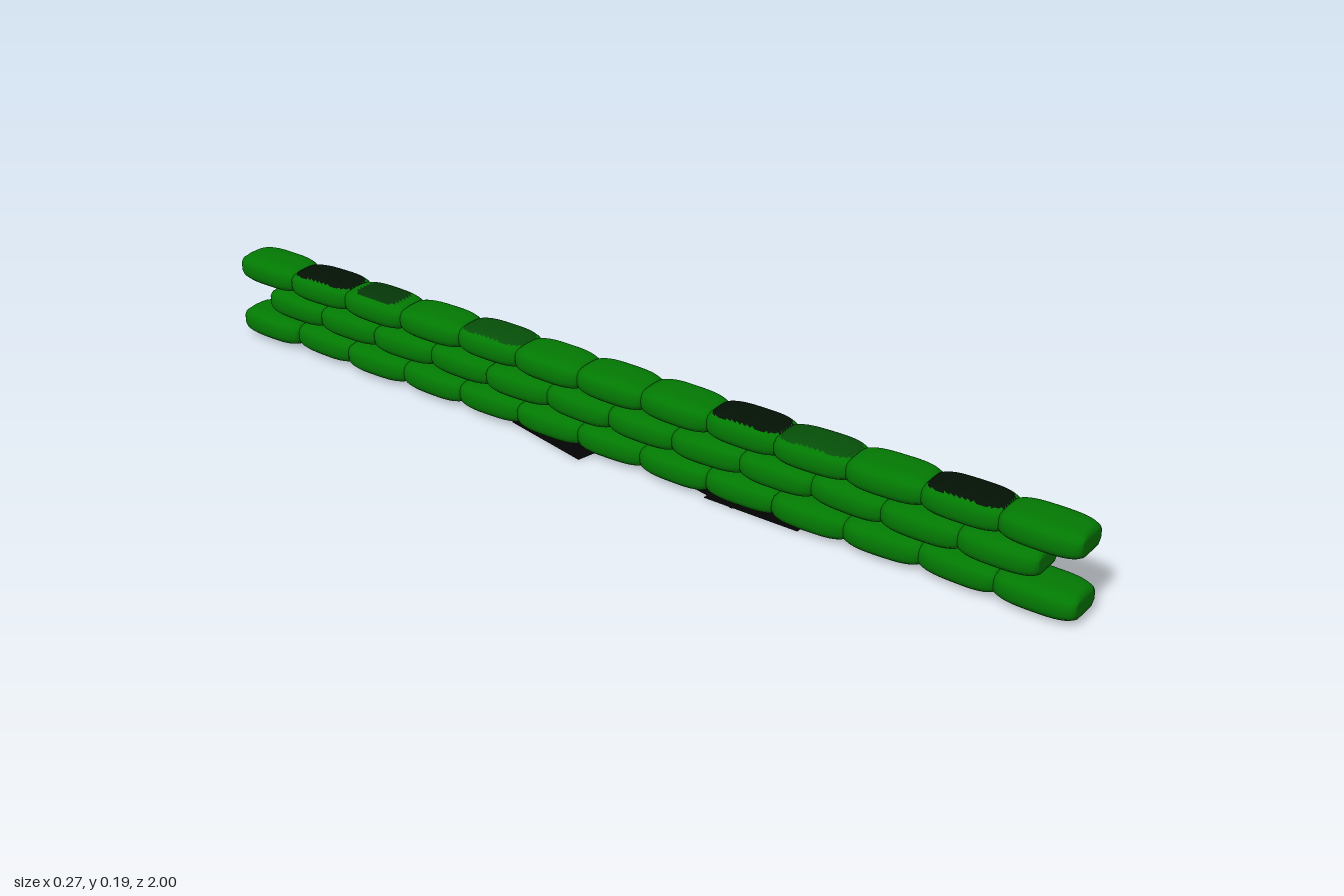
import * as THREE from 'three';
import { mergeVertices } from 'three/addons/utils/BufferGeometryUtils.js';

function paint(name, color, side = THREE.FrontSide) {
  const material = new THREE.MeshStandardMaterial({ color, side });
  material.name = name;
  return material;
}
const green = paint('bag green', 0x037a03);
const shadeGreen = paint('faded green', 0x065009);
const darkGreen = paint('damp green', 0x053808);
const deepGreen = paint('stained green', 0x031205);
const black = paint('ground black', 0x030303, THREE.DoubleSide);

// Small seeded generator, -1 to 1
let seed = 7;
function wobble() {
  seed = (seed * 16807) % 2147483647;
  return (seed / 2147483647) * 2 - 1;
}

// Stuffed bag: a cube pushed out to a rounded block, with blunt ends
function bagGeometry() {
  const geo = new THREE.BoxGeometry(2, 2, 2, 10, 6, 14);
  const pos = geo.attributes.position;
  const power = 3.2;
  for (let i = 0; i < pos.count; i++) {
    const p = [pos.getX(i), pos.getY(i), pos.getZ(i)];
    const norm = Math.pow(p.reduce((s, c) => s + Math.pow(Math.abs(c), power), 0), 1 / power);
    const [x, y, z] = p.map((c) => c / norm);
    pos.setXYZ(i, x * 0.052, y * 0.03, THREE.MathUtils.clamp(z * 0.092, -0.08, 0.08));
  }
  geo.deleteAttribute('uv');
  geo.deleteAttribute('normal');
  geo.clearGroups();
  const smooth = mergeVertices(geo, 1e-5);
  smooth.computeVertexNormals();
  return smooth;
}

// Sort the faces into clean ones (group 0) and an oval stain (group 1)
// on the top (side 1) or the underside (side -1)
function stainedGeometry(base, side, halfWidth, halfLength) {
  const geo = base.clone();
  const pos = geo.attributes.position;
  const index = geo.index.array;
  const clean = [];
  const stain = [];
  for (let i = 0; i < index.length; i += 3) {
    const face = [index[i], index[i + 1], index[i + 2]];
    const mean = (get) => face.reduce((s, v) => s + get(v), 0) / 3;
    const x = mean((v) => pos.getX(v)) / halfWidth;
    const y = mean((v) => pos.getY(v)) * side;
    const z = mean((v) => pos.getZ(v)) / halfLength;
    const inside = y > 0.017 && x ** 4 + z ** 4 < 1;
    (inside ? stain : clean).push(...face);
  }
  geo.setIndex([...clean, ...stain]);
  geo.addGroup(0, clean.length, 0);
  geo.addGroup(clean.length, stain.length, 1);
  return geo;
}

export function createModel() {
  const model = new THREE.Group();
  model.name = 'sandbagWall';

  const plain = bagGeometry();
  const wide = stainedGeometry(plain, 1, 0.04, 0.078);
  const small = stainedGeometry(plain, 1, 0.038, 0.055);
  const under = stainedGeometry(plain, -1, 0.04, 0.07);

  // Three courses; the middle one is offset by half a bag
  const pitch = 1.84 / 12;
  const courses = [
    {
      name: 'bottomCourse', y: 0.0335, count: 13,
      stains: { 0: [under, darkGreen], 3: [under, shadeGreen], 10: [under, darkGreen] },
    },
    { name: 'middleCourse', y: 0.0955, count: 12, stains: {} },
    {
      name: 'topCourse', y: 0.157, count: 13,
      stains: {
        1: [wide, deepGreen], 2: [small, darkGreen], 4: [wide, shadeGreen],
        8: [wide, deepGreen], 9: [wide, shadeGreen], 11: [wide, deepGreen],
      },
    },
  ];
  for (const { name, y, count, stains } of courses) {
    const course = new THREE.Group();
    course.name = name;
    for (let i = 0; i < count; i++) {
      const [geo, stain] = stains[i] ?? [plain];
      const bag = new THREE.Mesh(geo, stain ? [green, stain] : green);
      bag.name = 'sandbag';
      bag.position.set(-0.067 + wobble() * 0.004, y, (i - (count - 1) / 2) * pitch);
      // End bags stay square so the wall keeps its length
      bag.rotation.y = i === 0 || i === count - 1 ? 0 : wobble() * 0.05;
      course.add(bag);
    }
    model.add(course);
  }

  // Flat square sheets on the ground under the wall: x, z, turn
  const sheets = [
    [-0.008, -0.135, -0.215],
    [0.012, 0.212, -0.197],
    [-0.005, 0.335, 0],
  ];
  const sheetGeo = new THREE.PlaneGeometry(0.212, 0.212).rotateX(-Math.PI / 2);
  sheets.forEach(([x, z, turn], i) => {
    const sheet = new THREE.Mesh(sheetGeo, black);
    sheet.name = 'groundSheet';
    sheet.position.set(x, i * 0.0005, z);
    sheet.rotation.y = turn;
    model.add(sheet);
  });

  return model;
}
